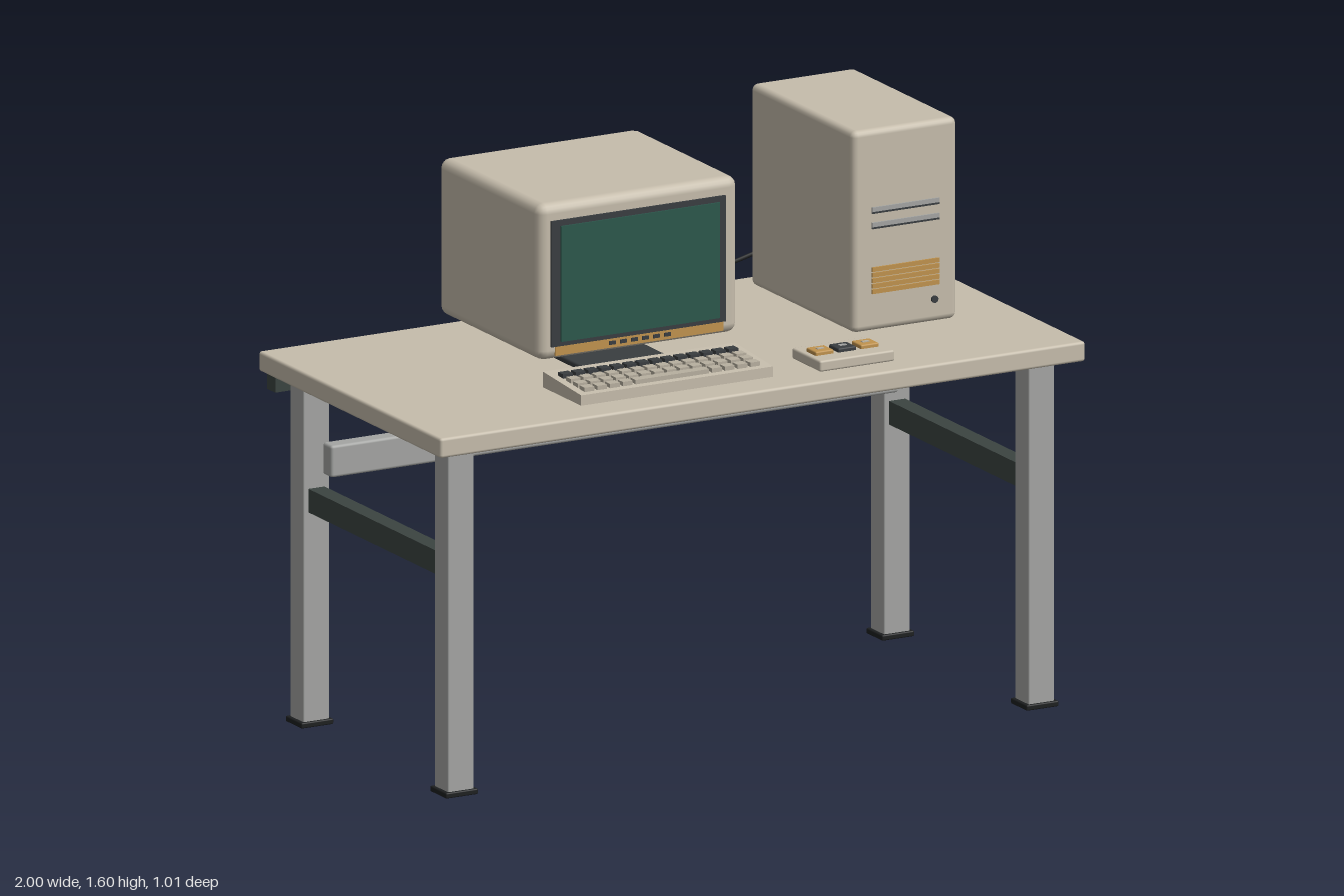
import * as THREE from 'three';
import { RoundedBoxGeometry } from 'three/addons/geometries/RoundedBoxGeometry.js';

const mat = (name, color) => {
  const m = new THREE.MeshStandardMaterial({ color });
  m.name = name;
  return m;
};

export function createModel() {
  const beige = mat('beige plastic', 0xc6bdac);
  const keyBeige = mat('key beige', 0xb8b0a0);
  const steel = mat('grey steel', 0xa4a5a3);
  const dark = mat('dark steel', 0x3b4441);
  const charcoal = mat('charcoal', 0x393d40);
  const black = mat('black rubber', 0x1d1f20);
  const glass = mat('green glass', 0x2c574c);
  const amber = mat('amber', 0xc0934e);

  const model = new THREE.Group();
  const group = (name) => {
    const g = new THREE.Group();
    g.name = name;
    model.add(g);
    return g;
  };

  // Box given by its extents, with optionally rounded edges
  function box(parent, name, material, [x0, x1], [y0, y1], [z0, z1], r = 0) {
    const w = x1 - x0, h = y1 - y0, d = z1 - z0;
    const geo = r ? new RoundedBoxGeometry(w, h, d, 2, r) : new THREE.BoxGeometry(w, h, d);
    const mesh = new THREE.Mesh(geo, material);
    mesh.name = name;
    mesh.position.set((x0 + x1) / 2, (y0 + y1) / 2, (z0 + z1) / 2);
    parent.add(mesh);
    return mesh;
  }
  const span = (c, size) => [c - size / 2, c + size / 2];

  // Desk
  const desk = group('desk');
  box(desk, 'tabletop', beige, [-1, 1], [0.977, 1.033], [-0.505, 0.505], 0.008);
  for (const s of [-1, 1]) {
    for (const z of [-0.4, 0.402]) {
      box(desk, 'leg', steel, span(s * 0.9, 0.08), [0.012, 0.977], span(z, 0.076), 0.004);
      box(desk, 'foot', black, span(s * 0.9, 0.1), [0, 0.016], span(z, 0.09), 0.004);
    }
    box(desk, 'sideBrace', dark, span(s * 0.9, 0.05), [0.604, 0.67], [-0.364, 0.366]);
    box(desk, 'topRunner', steel, span(s * 0.708, 0.056), [0.947, 0.979], [-0.45, 0.285], 0.006);
  }
  box(desk, 'rearRail', steel, [-0.88, 0.88], [0.705, 0.795], [-0.365, -0.315], 0.008);
  box(desk, 'rearTopRail', dark, [-0.98, 0.98], [0.927, 0.978], [-0.493, -0.447]);

  // Monitor
  const monitor = group('monitor');
  const mx = -0.21;
  box(monitor, 'monitorCase', beige, span(mx, 0.62), [1.105, 1.545], [-0.37, 0.192], 0.028);
  box(monitor, 'screenFrame', charcoal, span(mx - 0.004, 0.54), [1.144, 1.498], [0.18, 0.198]);
  box(monitor, 'screen', glass, span(mx, 0.492), [1.157, 1.482], [0.19, 0.203]);
  box(monitor, 'amberStrip', amber, span(mx, 0.52), [1.118, 1.143], [0.188, 0.196]);
  for (let i = 0; i < 6; i++) {
    box(monitor, 'controlButton', charcoal, span(mx - 0.085 + i * 0.034, 0.02), [1.127, 1.137], [0.195, 0.2]);
  }
  const neck = new THREE.Mesh(new THREE.CylinderGeometry(0.03, 0.04, 0.07, 20), charcoal);
  neck.name = 'neck';
  neck.position.set(mx, 1.075, -0.1);
  neck.material = steel;
  monitor.add(neck);
  box(monitor, 'standBase', charcoal, span(mx, 0.26), [1.033, 1.05], [-0.36, 0.12], 0.006);
  box(monitor, 'rearSocket', steel, span(mx, 0.035), [1.145, 1.185], [-0.382, -0.365]);

  // Keyboard: side outline drawn as (-z, y), extruded along x
  const keyboard = group('keyboard');
  const outline = new THREE.Shape();
  outline.moveTo(-0.4, 1.033);
  outline.lineTo(-0.188, 1.033);
  outline.lineTo(-0.188, 1.077);
  outline.lineTo(-0.4, 1.062);
  const wedge = new THREE.Mesh(
    new THREE.ExtrudeGeometry(outline, { depth: 0.595, bevelEnabled: false }), beige);
  wedge.name = 'keyboardCase';
  wedge.rotation.y = Math.PI / 2;
  wedge.position.x = -0.505;
  keyboard.add(wedge);
  const rowZ = [0.247, 0.29, 0.328, 0.366];
  rowZ.forEach((z, row) => {
    const top = 1.077 - (z - 0.188) * 0.07 + 0.011;
    for (let i = 0; i < 14; i++) {
      const x = -0.468 + i * 0.0395;
      if (row === 3 && i > 3 && i < 10) continue;
      box(keyboard, 'key', row ? keyBeige : charcoal, span(x, 0.03), [top - 0.016, top], span(z, 0.028));
    }
    if (row === 3) {
      box(keyboard, 'spaceBar', keyBeige, [-0.325, -0.097], [top - 0.016, top], span(z, 0.028));
    }
  });

  // Button pad
  const pad = group('buttonPad');
  box(pad, 'padCase', beige, [0.222, 0.454], [1.033, 1.064], [0.267, 0.424], 0.006);
  [amber, charcoal, amber].forEach((m, i) => {
    const x = 0.266 + i * 0.07;
    box(pad, 'padButton', m, span(x, 0.056), [1.06, 1.075], span(0.345, 0.054), 0.004);
    box(pad, 'buttonMark', i === 1 ? steel : keyBeige, span(x, 0.022), [1.074, 1.077], span(0.345, 0.012));
  });

  // Computer tower
  const tower = group('tower');
  const tx = 0.647;
  box(tower, 'towerCase', beige, span(tx, 0.324), [1.033, 1.6], [-0.435, 0.135], 0.018);
  for (const y of [1.374, 1.331]) {
    box(tower, 'driveSlot', steel, span(tx, 0.208), span(y, 0.016), [0.132, 0.14]);
    box(tower, 'driveGap', charcoal, span(tx, 0.208), span(y - 0.007, 0.005), [0.133, 0.141]);
  }
  for (let i = 0; i < 5; i++) {
    box(tower, 'grilleSlat', amber, span(tx, 0.208), span(1.207 - i * 0.0155, 0.0125), [0.132, 0.14]);
  }
  const button = new THREE.Mesh(new THREE.CylinderGeometry(0.01, 0.01, 0.01, 16), charcoal);
  button.name = 'powerButton';
  button.rotation.x = Math.PI / 2;
  button.position.set(0.737, 1.098, 0.136);
  tower.add(button);
  box(tower, 'rearPanel', charcoal, span(0.65, 0.215), [1.31, 1.5], [-0.441, -0.433]);
  for (const x of [0.565, 0.625, 0.69, 0.74]) {
    const port = new THREE.Mesh(new THREE.CylinderGeometry(0.014, 0.014, 0.02, 12), black);
    port.name = 'rearPort';
    port.rotation.x = Math.PI / 2;
    port.position.set(x, 1.135, -0.442);
    tower.add(port);
  }

  // Cable from tower to monitor
  const path = new THREE.CatmullRomCurve3([
    [0.625, 1.135, -0.445], [0.59, 1.128, -0.462], [0.43, 1.092, -0.46], [0.28, 1.074, -0.45],
    [0.135, 1.082, -0.442], [-0.06, 1.095, -0.455], [-0.17, 1.083, -0.468],
    [-0.235, 1.09, -0.43], [-0.225, 1.14, -0.4], [-0.21, 1.165, -0.375],
  ].map((p) => new THREE.Vector3(...p)));
  const cable = new THREE.Mesh(new THREE.TubeGeometry(path, 80, 0.006, 8), black);
  cable.name = 'cable';
  model.add(cable);

  return model;
}
